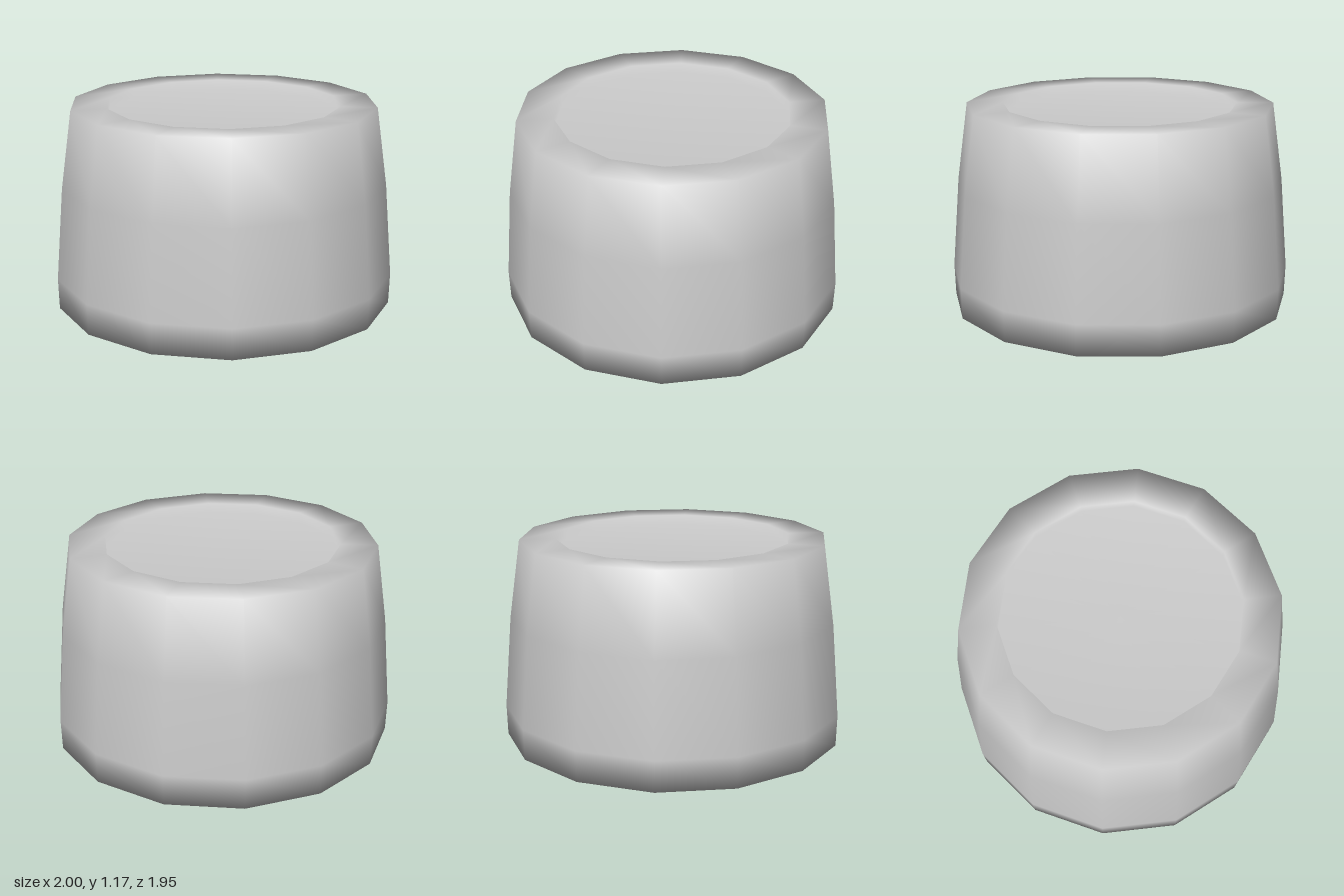
import * as THREE from 'three';

// Low-poly tapered round body with 14 sides, smooth shaded
export function createModel() {
  const group = new THREE.Group();
  const material = new THREE.MeshStandardMaterial({ color: 0xcccccc });

  // Profile from the base centre, up the outer wall, over the rim, to the recess centre
  const profile = [
    [0, 0], [0.995, 0], // base
    [1, 0.18], [0.955, 0.72], [0.89, 1.175], // tapered wall
    [0.68, 1.175], // flat rim
    [0.68, 1.115], [0, 1.115], // shallow recess
  ].map(([r, y]) => new THREE.Vector2(r, y));

  // Start at a quarter turn so corners lie on the x axis
  const body = new THREE.Mesh(new THREE.LatheGeometry(profile, 14, Math.PI / 2), material);
  body.name = 'taperedBody';
  group.add(body);
  return group;
}
